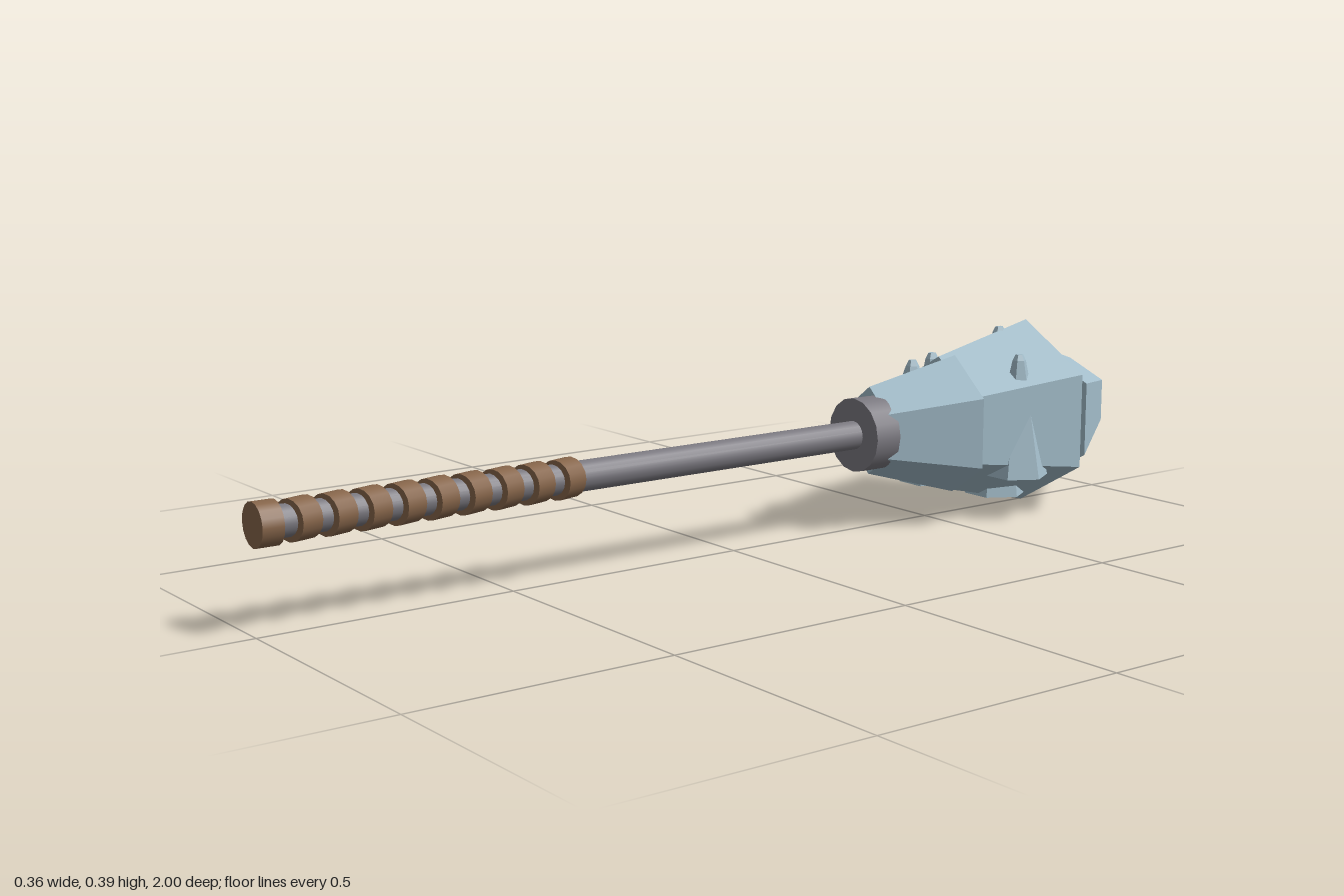
import * as THREE from 'three';

const AXIS_X = 0.005, AXIS_Y = 0.2;

export function createModel() {
  const group = new THREE.Group();
  const material = (name, color, flatShading) => {
    const m = new THREE.MeshStandardMaterial({ color, flatShading });
    m.name = name;
    return m;
  };
  const stone = material('pale blue stone', 0xa3bdca, true);
  const steel = material('grey steel', 0x7c7a81, false);
  const leather = material('brown leather', 0x86654a, false);

  const add = (name, geometry, mat, x, y, z, yaw = 0) => {
    const mesh = new THREE.Mesh(geometry, mat);
    mesh.name = name;
    mesh.position.set(x, y, z);
    mesh.rotation.y = yaw;
    group.add(mesh);
    return mesh;
  };
  // Tapered prism lying along z, with a corner pointing up
  const prism = (rBack, rFront, length, sides) =>
    new THREE.CylinderGeometry(rBack, rFront, length, sides).rotateX(-Math.PI / 2);

  // Shaft and collar
  add('shaft', prism(0.029, 0.029, 1.36, 16), steel, AXIS_X, AXIS_Y, 0.31);
  add('collar', prism(0.075, 0.075, 0.06, 16), steel, AXIS_X, AXIS_Y, -0.328);

  // Grip: slanted leather bands and the end cap
  for (let i = 0; i < 9; i++) {
    add('gripBand', prism(0.0375, 0.0375, 0.043, 16), leather, AXIS_X, AXIS_Y, 0.393 + i * 0.0655, 0.27);
  }
  add('gripEnd', prism(0.04, 0.04, 0.04, 16), leather, AXIS_X, AXIS_Y, 0.98);

  // Head: three tapered six-sided stones
  add('middleStone', prism(0.195, 0.138, 0.25, 6), stone, AXIS_X, AXIS_Y, -0.65);
  add('frontStone', prism(0.143, 0.09, 0.195, 6), stone, 0.01, AXIS_Y, -0.45, -0.25);
  add('backStone', prism(0.088, 0.152, 0.245, 6), stone, -0.002, AXIS_Y, -0.857, 0.4);

  // Spikes standing through the head: x, z, base height, tip height
  const spikes = [
    [-0.115, -0.618, 0.045, 0.323],
    [-0.057, -0.51, 0.155, 0.325],
    [0.112, -0.652, 0.092, 0.344],
    [-0.003, -0.705, 0.028, 0.385],
  ];
  // Blunt rounded tip and a flat six-sided base
  for (const [x, z, base, tip] of spikes) {
    const h = tip - base;
    const profile = [[0, 0], [0.066, 0], [0.014, h - 0.012], [0.008, h], [0, h]]
      .map(([r, y]) => new THREE.Vector2(r, y));
    add('spike', new THREE.LatheGeometry(profile, 6).rotateY(Math.PI / 6), stone, x, base, z);
  }
  return group;
}
